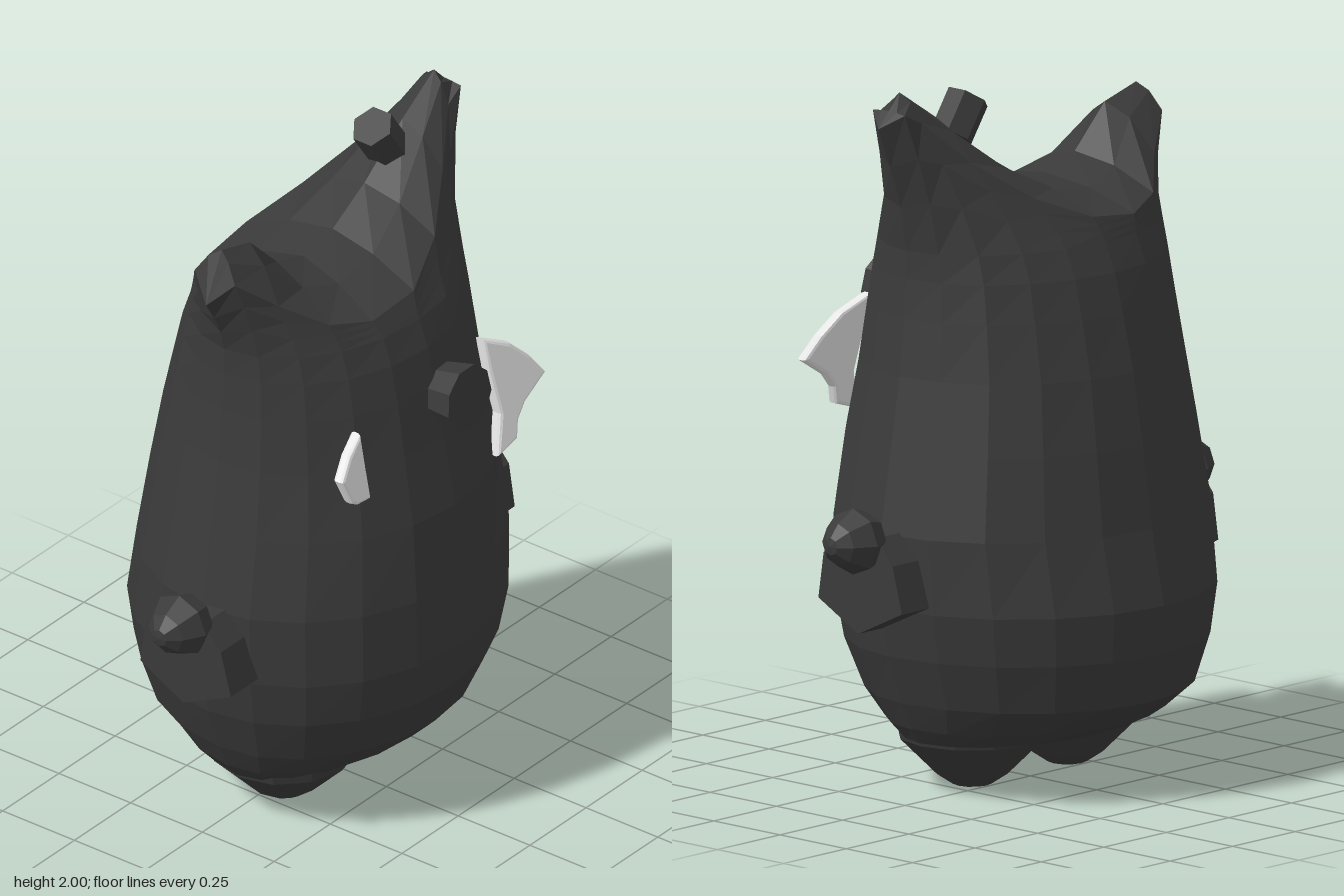
import * as THREE from 'three';

const SEG = 20;
const HALF = SEG / 2;
const lerp = THREE.MathUtils.lerp;

// Body rings: height, half width, front z, back z
const RINGS = [
  [0.155, 0.40, 0.27, -0.24], [0.2, 0.435, 0.34, -0.34], [0.28, 0.475, 0.42, -0.45],
  [0.42, 0.525, 0.485, -0.49], [0.56, 0.55, 0.513, -0.505], [0.77, 0.555, 0.513, -0.46],
  [1.0, 0.515, 0.49, -0.425], [1.2, 0.48, 0.45, -0.39], [1.36, 0.462, 0.42, -0.35],
  [1.47, 0.453, 0.395, -0.32], [1.55, 0.453, 0.365, -0.285],
];
// Upper crease from left horn to right horn: x, y, front z, back z
const RIM = [
  [0.565, 1.91, 0.04, 0.04], [0.523, 1.95, 0.1, -0.02], [0.46, 1.92, 0.105, -0.025],
  [0.34, 1.8, 0.18, -0.1], [0.19, 1.69, 0.27, -0.19], [0.02, 1.62, 0.33, -0.255],
  [-0.15, 1.6, 0.32, -0.25], [-0.28, 1.63, 0.27, -0.2], [-0.39, 1.71, 0.18, -0.1],
  [-0.495, 1.8, 0.11, -0.03], [-0.535, 1.73, 0.04, 0.04],
];
// Saddle ridge between the horn tips: x, y
const RIDGE = [
  [0.565, 1.91], [0.523, 1.955], [0.48, 2.0], [0.34, 1.91], [0.17, 1.785], [0.03, 1.705],
  [-0.1, 1.68], [-0.22, 1.72], [-0.34, 1.84], [-0.465, 1.875], [-0.535, 1.73],
];
const CENTRE_Z = 0.04;

function bodyGeometry() {
  const rows = RINGS.map(([y, w, zf, zb]) => Array.from({ length: SEG }, (_, i) => {
    const t = (i / SEG) * Math.PI * 2;
    const s = Math.sin(t);
    return [w * Math.cos(t), y, CENTRE_Z + s * (s > 0 ? zf - CENTRE_Z : CENTRE_Z - zb)];
  }));
  const top = rows[rows.length - 1];
  const col = (i) => (i <= HALF ? i : SEG - i);
  const rim = top.map((_, i) => {
    const [x, y, zf, zb] = RIM[col(i)];
    return [x, y, i <= HALF ? zf : zb];
  });
  // Horn flare from the last ring to the crease
  for (const k of [0.35, 0.68]) {
    rows.push(rim.map((p, i) => [
      lerp(top[i][0], p[0], k ** 1.5), lerp(top[i][1], p[1], k), lerp(top[i][2], p[2], k),
    ]));
  }
  // Arched saddle from the crease to the ridge
  for (const [k, ky] of [[0, 0], [0.5, 0.7], [1, 1]]) {
    rows.push(rim.map((p, i) => {
      const [x, y] = RIDGE[col(i)];
      return [lerp(p[0], x, k), lerp(p[1], y, ky), lerp(p[2], CENTRE_Z, k)];
    }));
  }
  const pos = rows.flat(2);
  const idx = [];
  for (let r = 0; r < rows.length - 1; r++) {
    for (let i = 0; i < SEG; i++) {
      const j = (i + 1) % SEG;
      const a = r * SEG + i, b = r * SEG + j;
      idx.push(a, a + SEG, b, b, a + SEG, b + SEG);
    }
  }
  // Underside
  const centre = pos.length / 3;
  pos.push(0, 0.17, 0.02);
  for (let i = 0; i < SEG; i++) idx.push(centre, i, (i + 1) % SEG);
  const g = new THREE.BufferGeometry();
  g.setAttribute('position', new THREE.Float32BufferAttribute(pos, 3));
  g.setIndex(idx);
  g.computeVertexNormals();
  return g;
}

const points2 = (list) => list.map(([x, y]) => new THREE.Vector2(x, y));

// Thin curved tusk that leans with its height and width
function tuskGeometry(outline, rule) {
  const g = new THREE.ExtrudeGeometry(new THREE.Shape(points2(outline)), {
    depth: 0.015, bevelEnabled: true, bevelThickness: 0.01, bevelSize: 0.01, bevelOffset: -0.01, bevelSegments: 2,
  });
  const p = g.attributes.position;
  for (let i = 0; i < p.count; i++) p.setZ(i, p.getZ(i) + rule(p.getX(i), p.getY(i)));
  g.computeVertexNormals();
  return g;
}

export function createModel() {
  const group = new THREE.Group();
  const dark = new THREE.MeshStandardMaterial({ color: 0x3a3a3a });
  dark.name = 'charcoal';
  dark.flatShading = true;
  const white = new THREE.MeshStandardMaterial({ color: 0xe4e4e4 });
  white.name = 'ivory';

  const add = (name, geometry, material, parent = group) => {
    const mesh = new THREE.Mesh(geometry, material);
    mesh.name = name;
    parent.add(mesh);
    return mesh;
  };

  add('body', bodyGeometry(), dark);

  // Round nose, slightly tapered toward the face
  const nose = add('nose', new THREE.CylinderGeometry(0.097, 0.075, 0.14, 9), dark);
  nose.rotation.x = Math.PI / 2 - 0.1;
  nose.position.set(0.045, 1.32, 0.435);

  // Knob on the slope of the tall horn
  const knob = add('hornKnob', new THREE.CylinderGeometry(0.062, 0.062, 0.12, 6), dark);
  knob.rotation.z = 0.6;
  knob.position.set(0.245, 1.895, 0.035);

  // Tusks
  add('leftTusk', tuskGeometry([
    [0.275, 1.355], [0.275, 1.26], [0.285, 1.13], [0.25, 1.015], [0.33, 1.04], [0.345, 1.09],
    [0.38, 1.13], [0.47, 1.185], [0.425, 1.25], [0.365, 1.31],
  ], (x, y) => 0.35 + 0.22 * (1.355 - y) + 0.15 * (x - 0.275)), white);
  add('rightTusk', tuskGeometry([
    [-0.285, 1.325], [-0.35, 1.285], [-0.4, 1.23], [-0.365, 1.15], [-0.34, 1.135], [-0.275, 1.125], [-0.28, 1.22],
  ], (x, y) => 0.36 + 0.15 * (1.325 - y) + 0.1 * (-0.28 - x)), white);

  // Arm outline across the side, drawn as (-z, y)
  const armShape = new THREE.Shape(points2([
    [-0.05, 0.5], [0.115, 0.58], [0.08, 0.71], [0.02, 0.78], [-0.12, 0.78], [-0.18, 0.71], [-0.2, 0.58],
  ]));
  const armGeometry = new THREE.ExtrudeGeometry(armShape, { depth: 0.135, bevelEnabled: false });
  armGeometry.rotateY(Math.PI / 2).translate(0.5, 0, 0);
  const handGeometry = new THREE.LatheGeometry(
    points2([[0, 0], [0.075, 0], [0.093, 0.055], [0.06, 0.115], [0.025, 0.145], [0, 0.15]]), 8);
  handGeometry.rotateZ(-Math.PI / 2).translate(0.605, 0.765, 0.045);
  const footGeometry = new THREE.LatheGeometry(
    points2([[0, 0.003], [0.055, 0.01], [0.1, 0.04], [0.15, 0.09], [0.205, 0.145], [0.225, 0.23]]), 12);

  for (const [side, sign] of [['left', 1], ['right', -1]]) {
    const limb = new THREE.Group();
    limb.name = side + 'Arm';
    // Half turn about the arm's own depth keeps face order intact on the right
    limb.position.z = sign > 0 ? 0 : 0.09;
    limb.rotation.y = sign > 0 ? 0 : Math.PI;
    group.add(limb);
    add(side + 'ArmBlock', armGeometry, dark, limb);
    add(side + 'Hand', handGeometry, dark, limb);
    const claw = add(side + 'Claw', new THREE.BoxGeometry(0.008, 0.1, 0.085), white, limb);
    claw.position.set(0.622, 0.765, 0.04);

    const foot = add(side + 'Foot', footGeometry, dark);
    foot.position.set(sign * 0.19, 0, 0.04);
  }
  return group;
}
